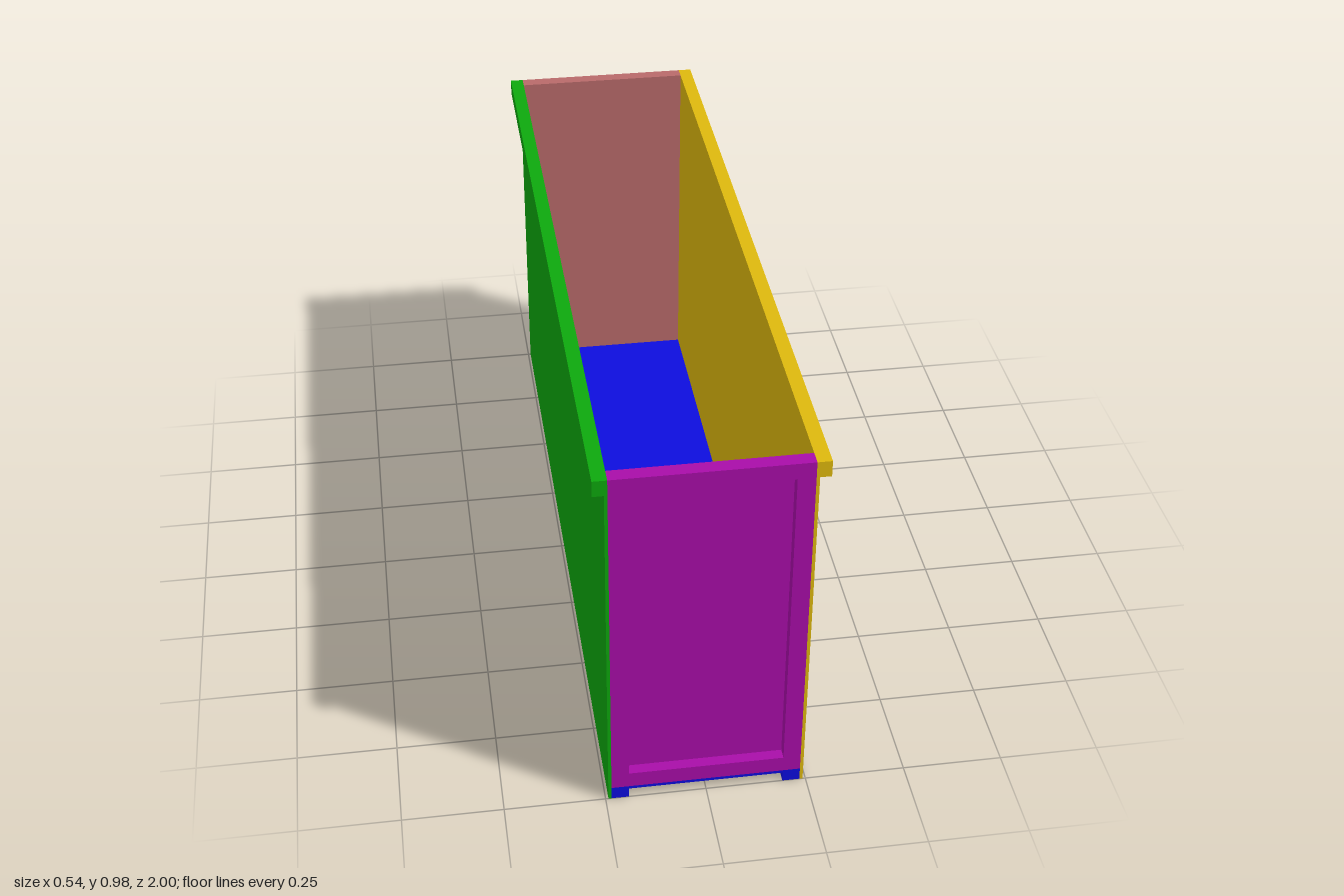
import * as THREE from 'three';

const LENGTH = 2, HALF = 0.235, TOP = 0.977, FLOOR = 0.035, SKIN = 0.008;
const RUNNER = 0.043, END_DEPTH = 0.036;

const paint = (color) => new THREE.MeshStandardMaterial({ color });

// Straight extrusion of an outline, from z = 0 to z = depth
function extrude(points, depth, hole) {
  const shape = new THREE.Shape(points.map(([x, y]) => new THREE.Vector2(x, y)));
  if (hole) shape.holes.push(new THREE.Path(hole.map(([x, y]) => new THREE.Vector2(x, y))));
  return new THREE.ExtrudeGeometry(shape, { depth, bevelEnabled: false });
}

const rect = (x0, y0, x1, y1) => [[x0, y0], [x1, y0], [x1, y1], [x0, y1]];

function part(name, geometry, material) {
  const mesh = new THREE.Mesh(geometry, material);
  mesh.name = name;
  return mesh;
}

// Thin side wall with an outward lip along its top edge; side is +1 or -1
function sideWall(name, side, color) {
  const outer = HALF + SKIN;
  const profile = [
    [HALF, 0], [outer, 0], [outer, 0.935], [0.27, 0.935], [0.27, TOP], [HALF, TOP],
  ].map(([x, y]) => [x * side, y]);
  const wall = part(name, extrude(profile, LENGTH), paint(color));
  wall.position.z = -LENGTH / 2;
  return wall;
}

// End wall: a raised frame around a thin recessed panel, facing +z
function endWall(name, color) {
  const group = new THREE.Group();
  group.name = name;
  const material = paint(color);
  const inner = HALF - RUNNER;
  const frame = part(name + 'Frame', extrude(
    rect(-HALF, FLOOR, HALF, TOP), END_DEPTH - SKIN,
    rect(-inner, FLOOR + RUNNER, inner, TOP - RUNNER)), material);
  frame.position.z = LENGTH / 2 - END_DEPTH + SKIN;
  const panel = part(name + 'Panel', extrude(rect(-HALF, FLOOR, HALF, TOP), SKIN), material);
  panel.position.z = LENGTH / 2 - END_DEPTH;
  group.add(frame, panel);
  return group;
}

// Floor sheet with a runner along each long edge
function floor() {
  const inner = HALF - RUNNER, under = FLOOR - SKIN;
  const base = part('floorWithRunners', extrude([
    [-HALF, 0], [-inner, 0], [-inner, under], [inner, under],
    [inner, 0], [HALF, 0], [HALF, FLOOR], [-HALF, FLOOR],
  ], LENGTH), paint(0x0d0ddd));
  base.position.z = -LENGTH / 2;
  return base;
}

export function createModel() {
  const model = new THREE.Group();
  model.name = 'openContainer';
  const back = endWall('backWall', 0xb86a6a);
  back.rotation.y = Math.PI;
  model.add(
    floor(),
    sideWall('leftWall', 1, 0xddb80d),
    sideWall('rightWall', -1, 0x0da80d),
    endWall('frontWall', 0xa80da8),
    back,
  );
  return model;
}
